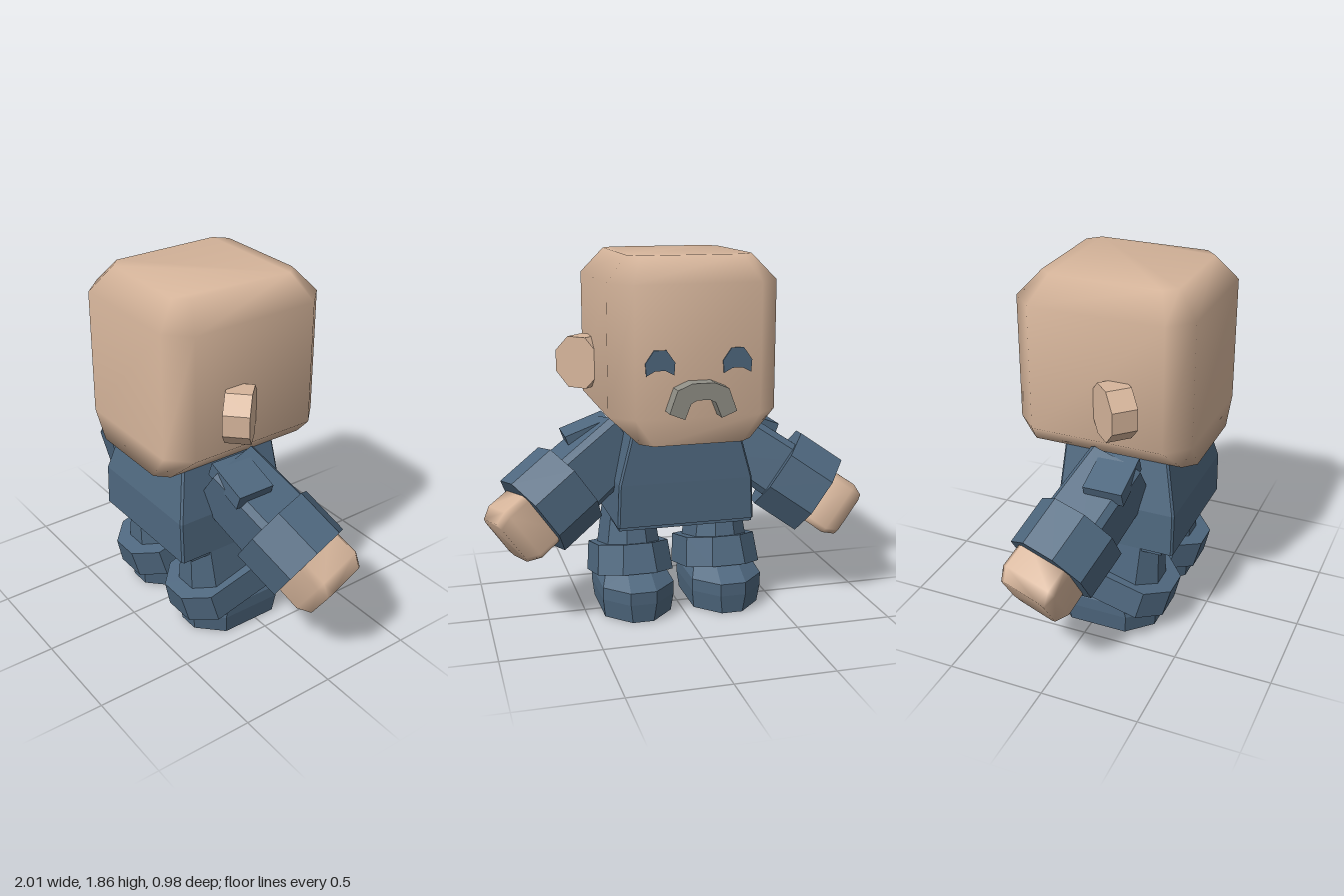
import * as THREE from 'three';

const skin = new THREE.MeshStandardMaterial({ color: 0xd6b59b });
skin.name = 'skin';
const cloth = new THREE.MeshStandardMaterial({ color: 0x4f687f });
cloth.name = 'blueCloth';
const grey = new THREE.MeshStandardMaterial({ color: 0x908f86 });
grey.name = 'grey';

// Stacks chamfered rectangles [y, halfX, z0, z1, chamfer] into a closed solid
function loft(rings, smooth = false) {
  const pos = [], idx = [];
  for (const [y, hx, z0, z1, c] of rings) {
    const outline = [[hx, z0 + c], [hx, z1 - c], [hx - c, z1], [c - hx, z1],
      [-hx, z1 - c], [-hx, z0 + c], [c - hx, z0], [hx - c, z0]];
    for (const [x, z] of outline) pos.push(x, y, z);
  }
  for (let r = 0; r < rings.length - 1; r++) {
    for (let i = 0; i < 8; i++) {
      const a = r * 8 + i, a1 = r * 8 + (i + 1) % 8;
      idx.push(a, a + 8, a1, a1, a + 8, a1 + 8);
    }
  }
  const top = (rings.length - 1) * 8;
  for (let i = 1; i < 7; i++) {
    idx.push(0, i, i + 1, top, top + i + 1, top + i);
  }
  let g = new THREE.BufferGeometry();
  g.setAttribute('position', new THREE.Float32BufferAttribute(pos, 3));
  g.setIndex(idx);
  if (!smooth) g = g.toNonIndexed();
  g.computeVertexNormals();
  return g;
}

function add(parent, name, geometry, material, x = 0, y = 0, z = 0) {
  const m = new THREE.Mesh(geometry, material);
  m.name = name;
  m.position.set(x, y, z);
  parent.add(m);
  return m;
}

function plate(points, depth) {
  const shape = new THREE.Shape(points.map(([x, y]) => new THREE.Vector2(x, y)));
  return new THREE.ExtrudeGeometry(shape, { depth, bevelEnabled: false });
}

// Everything that exists once on each side, built for +x
function buildSide(name) {
  const side = new THREE.Group();
  side.name = name;

  // Ear: eight-sided disc turned outward and toward the face
  const earGeo = new THREE.CylinderGeometry(0.141, 0.141, 0.127, 8).rotateY(Math.PI / 8)
    .toNonIndexed();
  earGeo.computeVertexNormals();
  earGeo.rotateZ(-Math.PI / 2).rotateY(Math.PI / 4);
  add(side, 'ear', earGeo, skin, 0.452, 1.3, 0.153);

  // Eye: arched dome with a hollow underside
  add(side, 'eye', plate([[-0.068, -0.06], [-0.072, 0], [-0.03, 0.06], [0.03, 0.06],
    [0.072, 0], [0.068, -0.06], [0.025, -0.037], [-0.025, -0.037]], 0.009),
  cloth, 0.19, 1.37, -0.417);

  // Arm: local y runs from the shoulder out to the hand
  const arm = new THREE.Group();
  arm.name = 'arm';
  const axis = new THREE.Vector3(0.79, -0.55, -0.27).normalize();
  const up = new THREE.Vector3(0.55, 0.79, 0).normalize();
  arm.quaternion.setFromRotationMatrix(
    new THREE.Matrix4().makeBasis(up, axis, up.clone().cross(axis)));
  arm.position.set(0.661, 0.628, -0.01);
  side.add(arm);
  add(arm, 'sleeve', loft([[-0.47, 0.15, -0.15, 0.15, 0.03], [0, 0.16, -0.16, 0.16, 0.03]]), cloth);
  add(arm, 'sleeveCuff', loft([[-0.13, 0.223, -0.213, 0.213, 0.125],
    [0.13, 0.223, -0.213, 0.213, 0.125]]), cloth);
  add(arm, 'hand', loft([[0.08, 0.15, -0.155, 0.155, 0.03], [0.25, 0.152, -0.157, 0.157, 0.03],
    [0.315, 0.125, -0.13, 0.13, 0.03]], true), skin);

  // Shoulder flap
  const flap = add(side, 'shoulderFlap', new THREE.BoxGeometry(0.24, 0.08, 0.2), cloth,
    0.45, 0.935, 0.14);
  flap.rotation.z = -0.35;

  // Leg, tilted trouser cuff and shoe
  const leg = new THREE.Group();
  leg.name = 'leg';
  leg.position.x = 0.238;
  side.add(leg);
  add(leg, 'trouser', loft([[0.15, 0.16, -0.15, 0.325, 0.09], [0.28, 0.148, -0.12, 0.325, 0.09],
    [0.52, 0.113, -0.06, 0.32, 0.07]]), cloth);
  const cuff = add(leg, 'trouserCuff', loft([[-0.077, 0.2, -0.275, 0.275, 0.11],
    [0.077, 0.185, -0.26, 0.275, 0.11]]), cloth, 0, 0.242, 0.117);
  cuff.rotation.x = 0.25;
  add(leg, 'shoe', loft([[0, 0.175, -0.235, 0.31, 0.12], [0.1, 0.187, -0.248, 0.32, 0.12],
    [0.165, 0.187, -0.25, 0.3, 0.12], [0.24, 0.15, -0.13, 0.28, 0.09]]), cloth);
  return side;
}

export function createModel() {
  const model = new THREE.Group();
  model.name = 'figure';

  // Head: soft block, chamfered on top and along the lower sides
  add(model, 'head', loft([[0.968, 0.28, -0.41, 0.49, 0.06], [1.1, 0.42, -0.41, 0.49, 0.11],
    [1.735, 0.42, -0.41, 0.49, 0.11], [1.86, 0.31, -0.3, 0.385, 0.06]], true), skin);

  // Moustache: an angular arch on the face
  add(model, 'moustache', plate([[-0.165, 0.03], [-0.125, 0.14], [-0.055, 0.17], [0.055, 0.17],
    [0.125, 0.14], [0.165, 0.03], [0.09, 0], [0.06, 0.075], [0.03, 0.09], [-0.03, 0.09],
    [-0.06, 0.075], [-0.09, 0]], 0.085), grey, 0, 1.11, -0.492);

  // Torso and hem
  add(model, 'torso', loft([[0.5, 0.357, -0.2, 0.42, 0.01], [0.72, 0.348, -0.2, 0.42, 0.01],
    [0.975, 0.28, -0.19, 0.36, 0.01]]), cloth);
  add(model, 'hem', new THREE.BoxGeometry(0.7, 0.03, 0.55), cloth, 0, 0.498, 0.085);

  const left = buildSide('leftSide');
  const right = buildSide('rightSide');
  right.scale.x = -1;
  model.add(left, right);
  return model;
}
